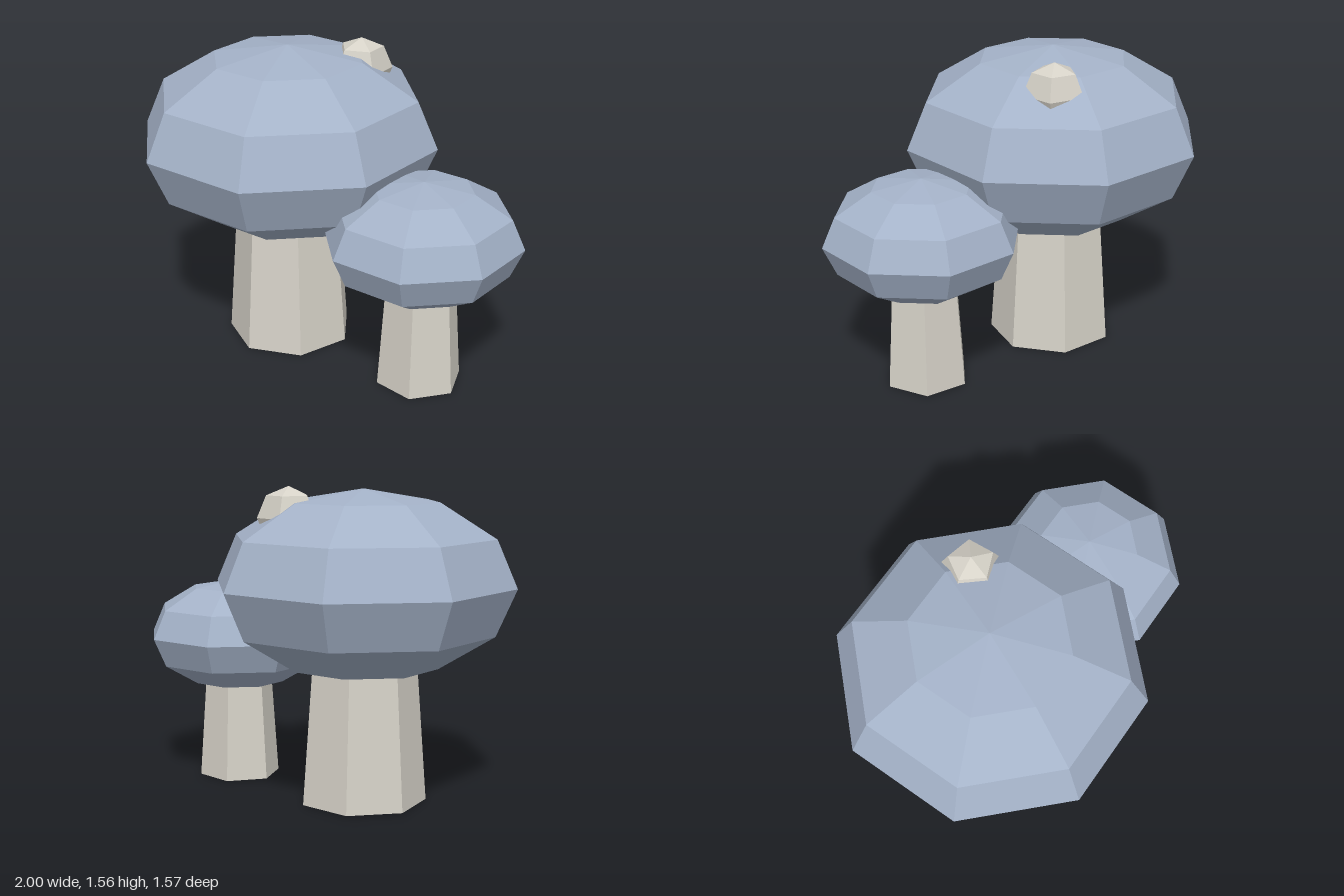
import * as THREE from 'three';

const capMat = new THREE.MeshStandardMaterial({ color: 0xa4b2c8, flatShading: true });
const stalkMat = new THREE.MeshStandardMaterial({ color: 0xd6d2c8, flatShading: true });

// Tapered, faceted stalk standing on the ground, its top hidden inside the cap
function makeStalk(rTop, rBottom, height, sides, turn) {
  const geo = new THREE.CylinderGeometry(rTop, rBottom, height, sides);
  geo.rotateY(turn);
  geo.translate(0, height / 2, 0);
  const stalk = new THREE.Mesh(geo, stalkMat);
  stalk.name = 'stalk';
  return stalk;
}

// Squashed eight-sided sphere
function makeCap(radius, halfHeight, y) {
  const geo = new THREE.SphereGeometry(radius, 8, 6);
  geo.scale(1, halfHeight / radius, 1);
  const cap = new THREE.Mesh(geo, capMat);
  cap.position.y = y;
  cap.name = 'cap';
  return cap;
}

function makeMushroom(name, x, z, stalk, cap) {
  const group = new THREE.Group();
  group.name = name;
  group.position.set(x, 0, z);
  group.add(stalk, cap);
  return group;
}

export function createModel() {
  const model = new THREE.Group();
  model.name = 'mushrooms';

  model.add(
    makeMushroom('largeMushroom', -0.245, -0.03,
      makeStalk(0.256, 0.32, 0.88, 7, Math.PI), makeCap(0.755, 0.467, 1.083)),
    makeMushroom('smallMushroom', 0.512, 0.295,
      makeStalk(0.169, 0.213, 0.64, 6, 0), makeCap(0.485, 0.29, 0.76)),
  );

  // Pale wart half sunk into the large cap
  const wart = new THREE.Mesh(new THREE.SphereGeometry(0.153, 5, 4), stalkMat);
  wart.name = 'wart';
  wart.position.set(0.085, 1.412, -0.192);
  wart.rotation.y = -Math.PI / 2;
  model.add(wart);

  return model;
}
